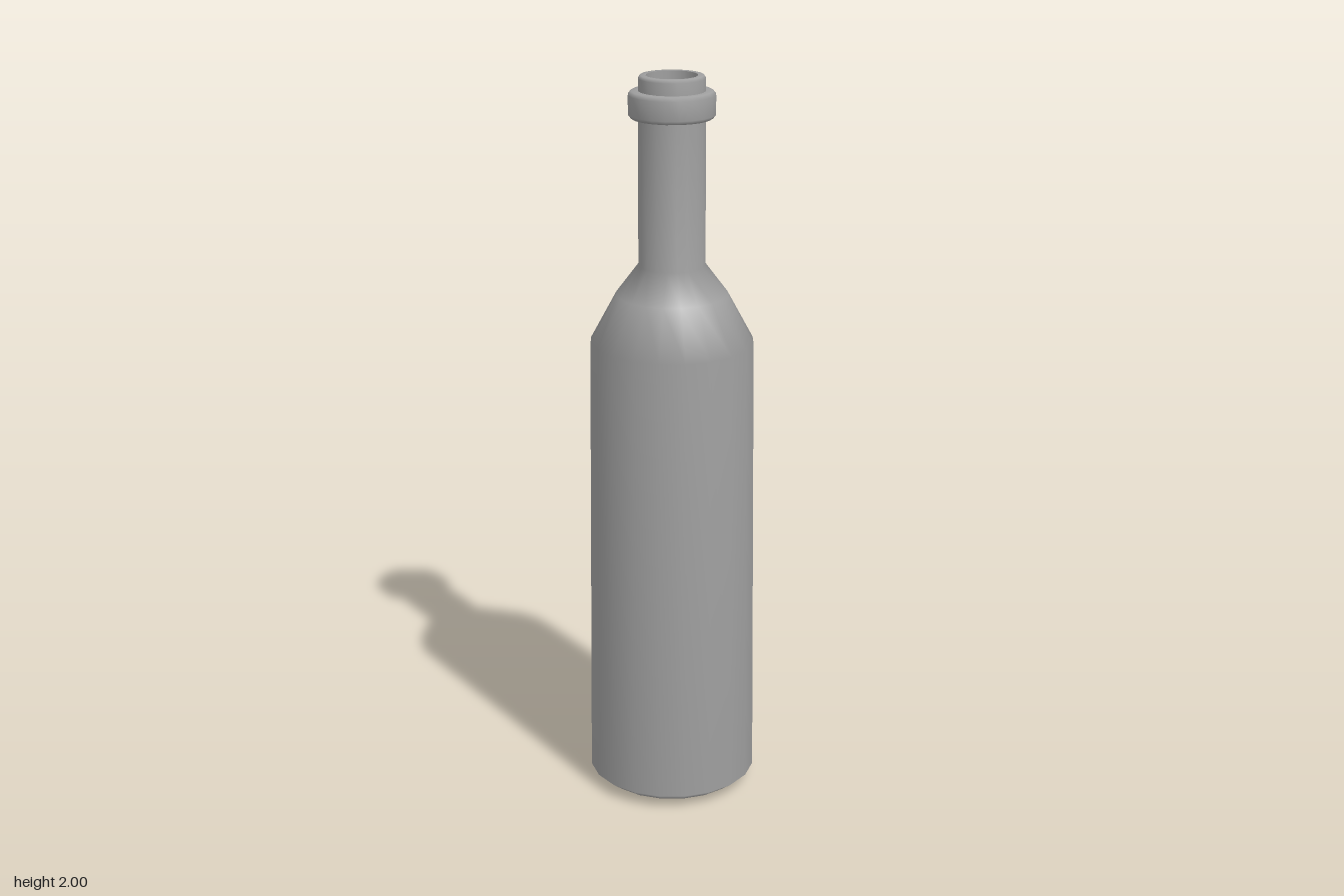
import * as THREE from 'three';

const SIDES = 20;

export function createModel() {
  const bottle = new THREE.Group();
  bottle.name = 'bottle';
  const glass = new THREE.MeshStandardMaterial({ color: 0x9f9f9f });
  glass.name = 'grey glass';

  // Each part is a smooth lathe; separate parts keep the edges between them crisp
  const turn = (name, profile) => {
    const points = profile.map(([r, y]) => new THREE.Vector2(r, y));
    const mesh = new THREE.Mesh(new THREE.LatheGeometry(points, SIDES), glass);
    mesh.name = name;
    bottle.add(mesh);
  };

  // Hollow under the base
  turn('baseHollowCeiling', [[0, 0.3], [0.155, 0.3]]);
  turn('baseHollowWall', [[0.155, 0.3], [0.165, 0]]);

  // Base chamfer, slightly tapered body, shoulder and neck
  turn('body', [
    [0.165, 0], [0.2, 0.015], [0.232, 0.04], [0.22, 1.29],
    [0.15, 1.42], [0.09, 1.5], [0.088, 1.96],
  ]);

  // Rounded collar around the neck
  turn('collar', [
    [0.086, 1.89], [0.107, 1.89], [0.115, 1.9],
    [0.115, 1.95], [0.107, 1.96], [0.086, 1.96],
  ]);

  // Lip rolling into the mouth, then the inside of the neck
  turn('lip', [[0.088, 1.95], [0.088, 1.992], [0.083, 2], [0.068, 2]]);
  turn('mouthWall', [[0.068, 2], [0.068, 1.5]]);
  turn('mouthFloor', [[0.068, 1.5], [0, 1.5]]);

  return bottle;
}
